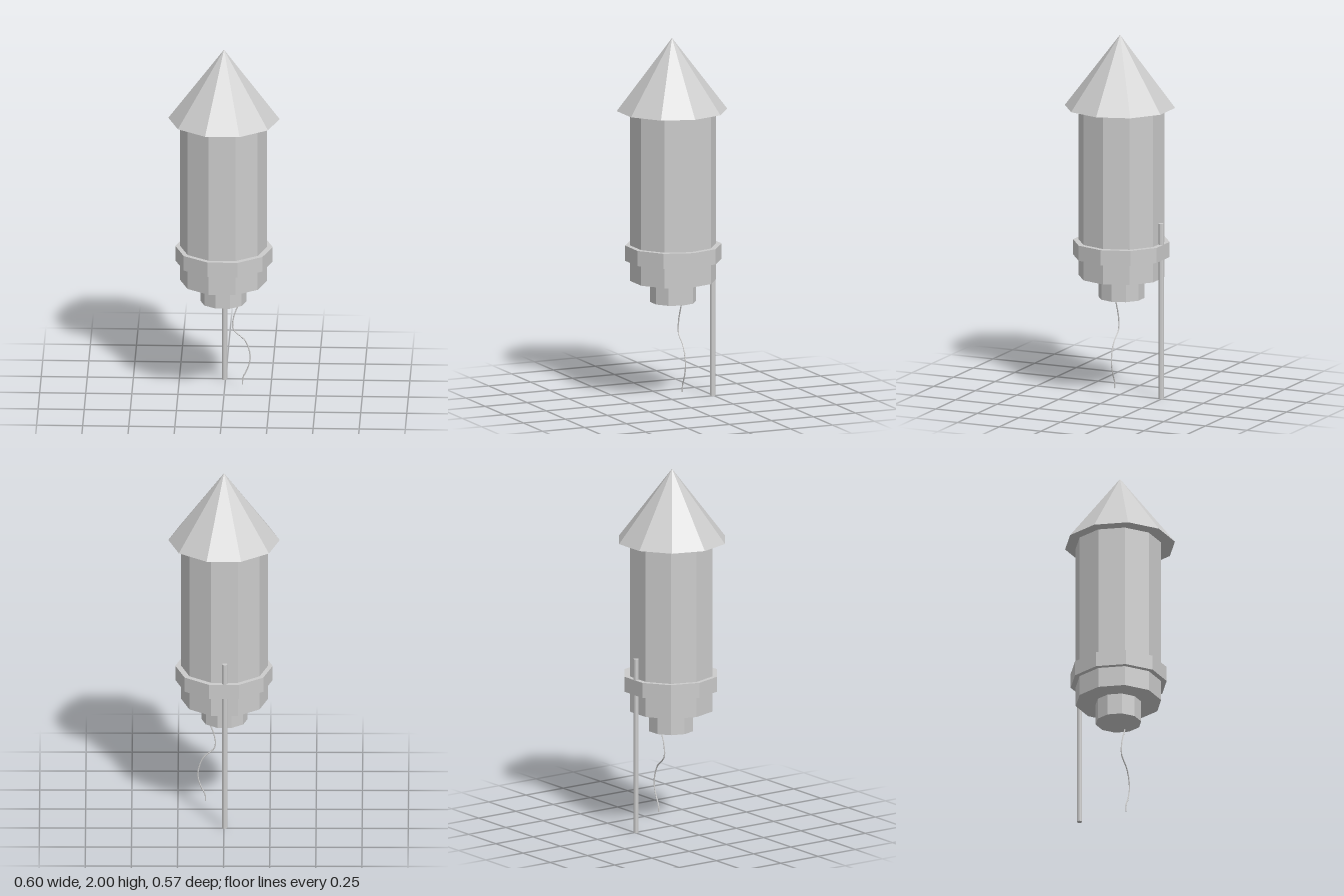
import * as THREE from 'three';

const SIDES = 10;
const material = new THREE.MeshStandardMaterial({ color: 0xcccccc, flatShading: true });

// Upright ten-sided prism or cone between two heights, with corners on the x axis.
function prism(name, bottomRadius, topRadius, y0, y1, x = 0, z = 0) {
  const geometry = new THREE.CylinderGeometry(topRadius, bottomRadius, y1 - y0, SIDES, 1, false, Math.PI / 2);
  const mesh = new THREE.Mesh(geometry, material);
  mesh.name = name;
  mesh.position.set(x, (y0 + y1) / 2, z);
  return mesh;
}

export function createModel() {
  const group = new THREE.Group();
  group.name = 'fireworkRocket';

  // Nose, tube, band and nozzle
  group.add(
    prism('noseCone', 0.302, 0, 1.602, 2),
    prism('body', 0.235, 0.235, 0.66, 1.604, -0.003, -0.008),
    prism('collar', 0.264, 0.264, 0.773, 0.857, 0, -0.008),
    prism('nozzle', 0.125, 0.125, 0.541, 0.662, -0.003, -0.008)
  );

  // Guide stick fixed to the back of the tube
  group.add(prism('guideStick', 0.0145, 0.0145, 0, 0.973, -0.005, -0.245));

  // Wavy fuse hanging from the nozzle
  const path = new THREE.CatmullRomCurve3([
    [0.092, 0.56], [0.083, 0.53], [0.053, 0.45], [0.05, 0.377], [0.115, 0.31],
    [0.142, 0.217], [0.127, 0.149], [0.102, 0.095], [0.1, 0.058]
  ].map(([x, y]) => new THREE.Vector3(x, y, -0.016)));
  const fuse = new THREE.Mesh(new THREE.TubeGeometry(path, 32, 0.004, 6), material);
  fuse.name = 'fuse';
  group.add(fuse);

  // Closed lower end of the fuse
  const tip = new THREE.Mesh(new THREE.CircleGeometry(0.004, 6), material);
  tip.name = 'fuseTip';
  tip.rotation.x = Math.PI / 2;
  tip.position.set(0.1, 0.058, -0.016);
  group.add(tip);

  return group;
}
